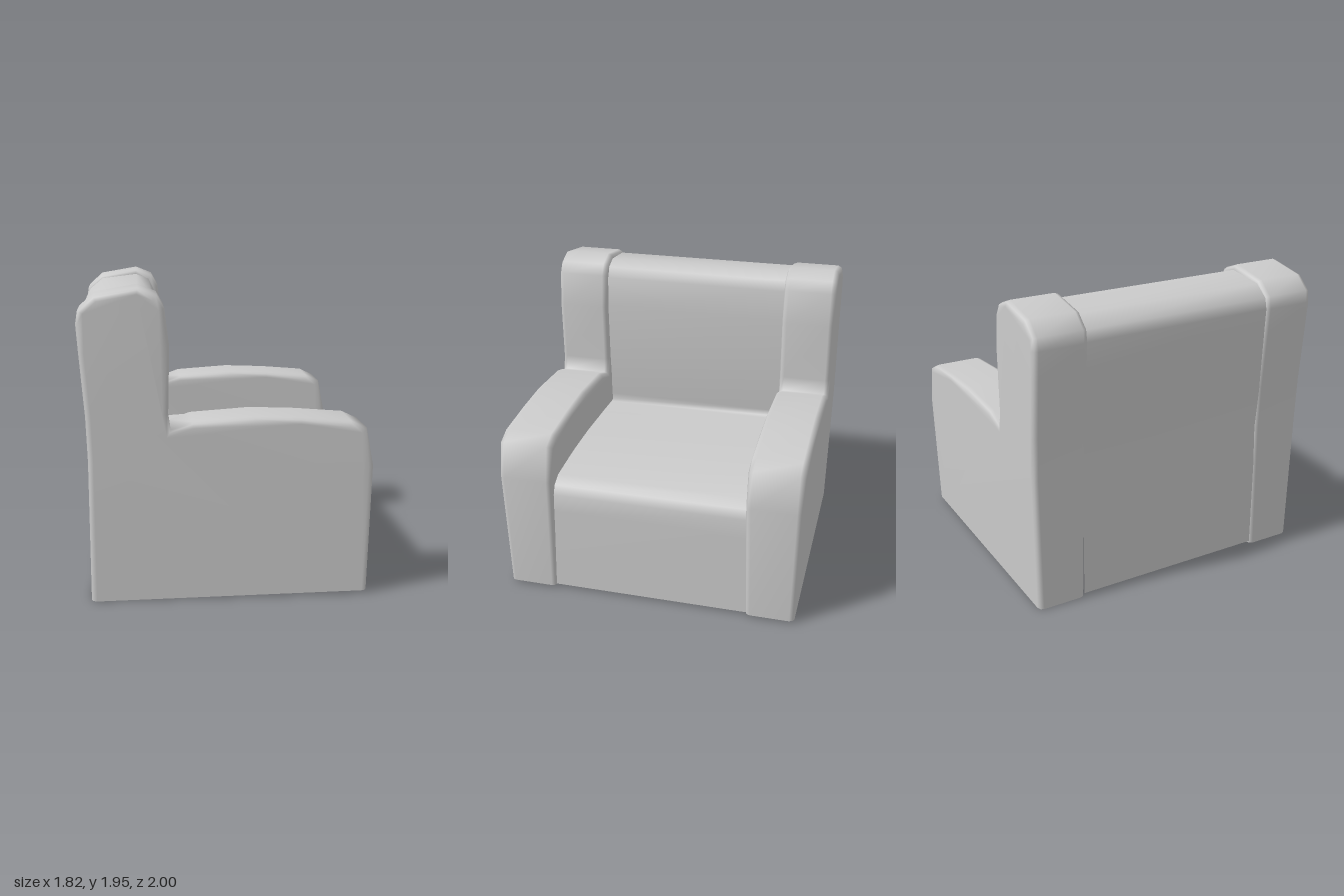
import * as THREE from 'three';
import { mergeVertices } from 'three/addons/utils/BufferGeometryUtils.js';

const material = new THREE.MeshStandardMaterial({ color: 0xcccccc, side: THREE.DoubleSide });

// Side silhouette of an armrest with its tall wing; the chair faces +x
const armProfile = [
  [0.89, 0], [0.907, 0.84], [0.86, 1.08], [0.76, 1.127], [0.45, 1.152], [0.16, 1.163],
  [-0.22, 1.137], [-0.35, 1.09], [-0.365, 1.19], [-0.355, 1.6], [-0.382, 1.83], [-0.425, 1.905],
  [-0.54, 1.95], [-0.8, 1.905], [-0.895, 1.82], [-0.908, 1.74], [-0.895, 1.56],
  [-0.865, 1.18], [-0.855, 0.9], [-0.855, 0],
];

// Open line running up the back, over the top, down to the seat and down the front
const bodyProfile = [
  [-0.85, 0.02], [-0.845, 0.9], [-0.86, 1.2], [-0.885, 1.56], [-0.895, 1.74], [-0.88, 1.81],
  [-0.79, 1.885], [-0.54, 1.916], [-0.45, 1.88], [-0.415, 1.81], [-0.398, 1.6], [-0.41, 1.2],
  [-0.44, 0.88], [-0.45, 0.83], [-0.41, 0.825], [-0.2, 0.838], [0.15, 0.853], [0.45, 0.85],
  [0.76, 0.83], [0.83, 0.79], [0.862, 0.73], [0.865, 0.6], [0.865, 0.02],
];

// Padded slab with rounded rims, slimmer toward the floor and open underneath
function armGeometry() {
  const bevel = 0.035, half = 0.18;
  const shape = new THREE.Shape(armProfile.map(([x, y]) => new THREE.Vector2(x, y)));
  let g = new THREE.ExtrudeGeometry(shape, {
    depth: 2 * (half - bevel), bevelThickness: bevel, bevelSize: bevel,
    bevelOffset: -bevel, bevelSegments: 2,
  });
  g.translate(0, 0, bevel - half);
  g.deleteAttribute('uv');
  g.deleteAttribute('normal');
  const p = g.attributes.position;
  for (let i = 0; i < p.count; i++) {
    const x = p.getX(i), y = p.getY(i);
    if (y < 0.1) p.setY(i, 0.011 * (x + 0.855));
    p.setZ(i, p.getZ(i) * THREE.MathUtils.lerp(0.9, 1, Math.min(1, y / 0.85)));
  }
  g = mergeVertices(g, 1e-4);
  // Drop the floor faces
  const q = g.attributes.position, index = [];
  for (let i = 0; i < g.index.count; i += 3) {
    const t = [0, 1, 2].map((k) => g.index.getX(i + k));
    if (t.some((v) => q.getY(v) > 0.05)) index.push(...t);
  }
  g.setIndex(index);
  g.computeVertexNormals();
  return g;
}

// Thin upholstery sheet spanning the gap between the arms
function bodyGeometry(halfWidth) {
  const positions = [], index = [];
  bodyProfile.forEach(([x, y], i) => {
    positions.push(x, y, halfWidth, x, y, -halfWidth);
    if (i === 0) return;
    const a = 2 * (i - 1);
    index.push(a, a + 2, a + 1, a + 1, a + 2, a + 3);
  });
  const g = new THREE.BufferGeometry();
  g.setAttribute('position', new THREE.Float32BufferAttribute(positions, 3));
  g.setIndex(index);
  g.computeVertexNormals();
  return g;
}

export function createModel() {
  const chair = new THREE.Group();
  chair.name = 'armchair';

  const arm = armGeometry();
  for (const [name, z] of [['leftSideArm', 0.82], ['rightSideArm', -0.82]]) {
    const mesh = new THREE.Mesh(arm, material);
    mesh.name = name;
    mesh.position.z = z;
    chair.add(mesh);
  }

  const body = new THREE.Mesh(bodyGeometry(0.66), material);
  body.name = 'seatAndBackrest';
  chair.add(body);
  return chair;
}
